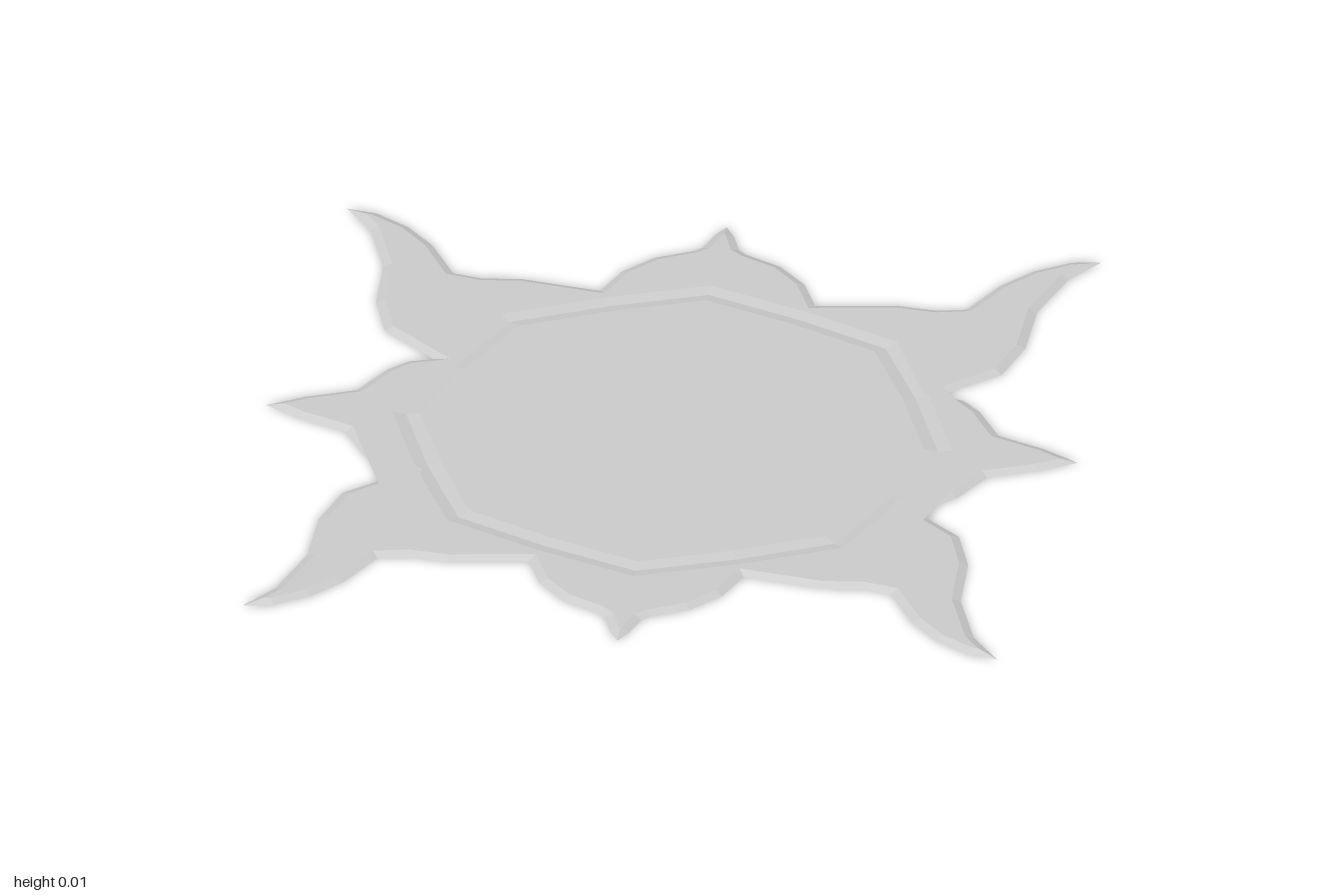
import * as THREE from 'three';

const TOP = 0.009, DIP = 0.003, RIM = 0.022;

// One quarter of the outline, from the side point to the end point
const QUARTER = [
  [1, 0], [0.91, 0.052], [0.79, 0.1], [0.73, 0.205], [0.685, 0.25], [0.625, 0.27],
  [0.76, 0.385], [0.8, 0.515], [0.805, 0.685], [0.86, 0.85], [0.93, 0.943],
  [0.855, 0.93], [0.77, 0.877], [0.7, 0.8], [0.632, 0.677], [0.56, 0.662], [0.46, 0.672],
  [0.265, 0.643], [0.225, 0.74], [0.155, 0.815], [0.065, 0.86], [0.045, 0.878], [0.024, 0.94], [0, 0.982],
];

const vec = ([x, y]) => new THREE.Vector2(x, y);

function mirroredOutline() {
  const half = [...QUARTER, ...QUARTER.slice(0, -1).reverse().map(([x, y]) => [-x, y])];
  return [...half, ...half.slice(1, -1).reverse().map(([x, y]) => [x, -y])].map(vec);
}

// Moves a counter-clockwise loop inwards, with the mitre limited at sharp tips
function inset(loop, width) {
  const n = loop.length;
  return loop.map((p, i) => {
    const a = p.clone().sub(loop[(i + n - 1) % n]).normalize();
    const b = loop[(i + 1) % n].clone().sub(p).normalize();
    const na = new THREE.Vector2(-a.y, a.x), nb = new THREE.Vector2(-b.y, b.x);
    const m = na.clone().add(nb).normalize();
    return p.clone().addScaledVector(m, width / Math.max(m.dot(na), 0.35));
  });
}

// Octagonal loop with slightly bowed sides
function octagon(radius) {
  return Array.from({ length: 16 }, (_, i) => {
    const r = radius * (i % 2 ? 0.94 : 1), t = (i * Math.PI) / 8;
    return new THREE.Vector2(r * Math.cos(t), r * Math.sin(t));
  });
}

// Sloping band between two loops at different heights
function band(outer, outerY, inner, innerY) {
  const n = outer.length, pos = [], index = [];
  outer.forEach((p) => pos.push(p.x, p.y, outerY));
  inner.forEach((p) => pos.push(p.x, p.y, innerY));
  for (let i = 0; i < n; i++) {
    const j = (i + 1) % n;
    index.push(i, j, n + i, j, n + j, n + i);
  }
  const g = new THREE.BufferGeometry();
  g.setAttribute('position', new THREE.Float32BufferAttribute(pos, 3));
  g.setIndex(index);
  g.computeVertexNormals();
  return g;
}

// Level area with an optional hole
function level(loop, hole) {
  const shape = new THREE.Shape(loop);
  if (hole) shape.holes.push(new THREE.Path(hole));
  return new THREE.ShapeGeometry(shape).translate(0, 0, TOP);
}

export function createModel() {
  const group = new THREE.Group();
  group.name = 'ornamentalPlate';
  const material = new THREE.MeshStandardMaterial({
    color: 0xcccccc, flatShading: true, side: THREE.DoubleSide,
  });
  const add = (name, geometry) => {
    const mesh = new THREE.Mesh(geometry.rotateX(-Math.PI / 2), material);
    mesh.name = name;
    group.add(mesh);
  };

  const edge = mirroredOutline();
  const field = inset(edge, RIM);
  const grooveOuter = octagon(0.69), grooveBottom = octagon(0.655), grooveInner = octagon(0.62);

  add('bevelledRim', band(edge, 0, field, TOP));
  add('pointedBorder', level(field, grooveOuter));
  add('grooveOuterWall', band(grooveOuter, TOP, grooveBottom, DIP));
  add('grooveInnerWall', band(grooveBottom, DIP, grooveInner, TOP));
  add('centrePanel', level(grooveInner));
  return group;
}
